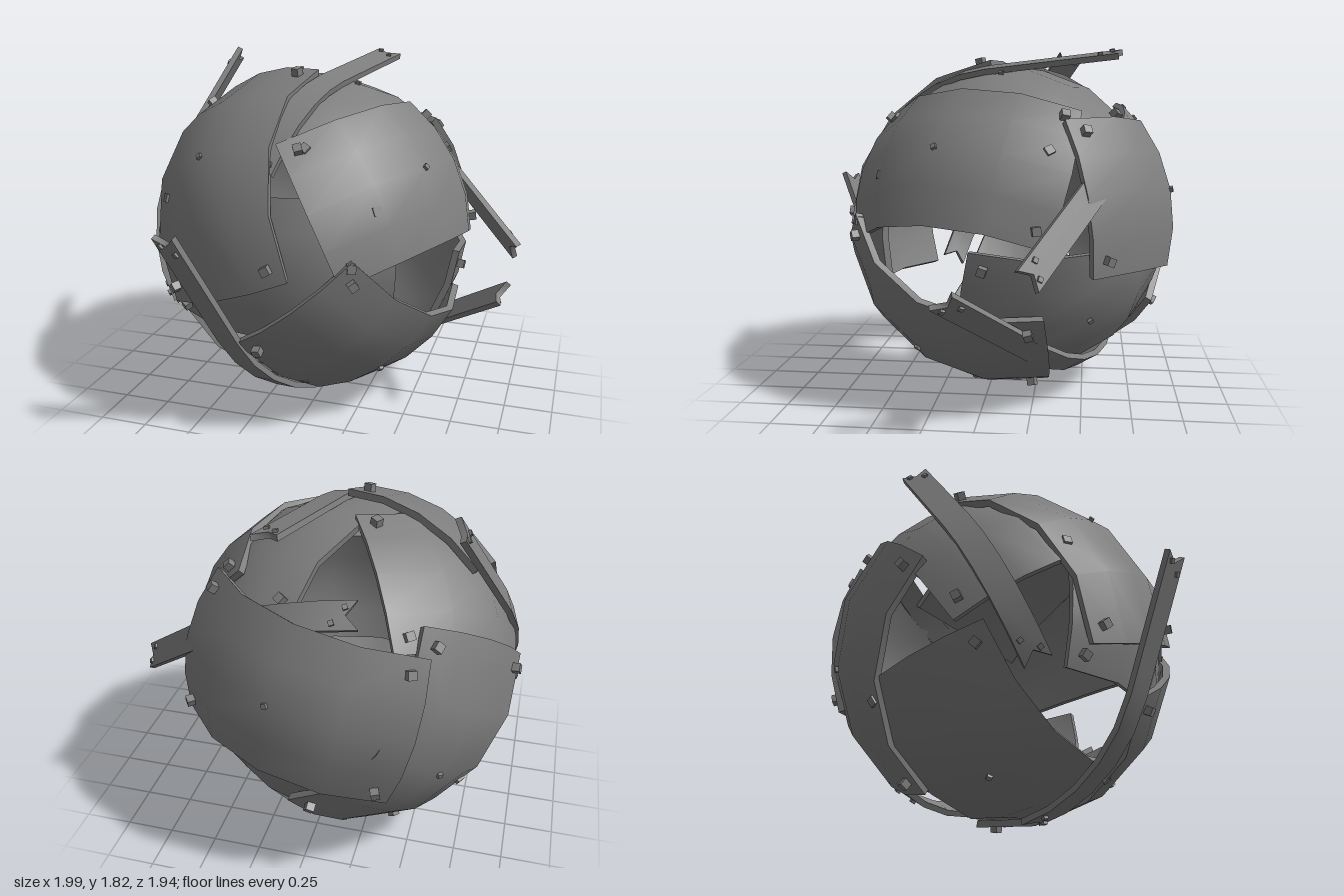
import * as THREE from 'three';

const CENTER = [-0.1, 0.86, -0.1];
const rad = THREE.MathUtils.degToRad;
const vec = (a) => new THREE.Vector3(...a);

const metal = new THREE.MeshStandardMaterial({ color: 0x7f7f7f });
metal.name = 'grey metal';

// Group whose local z points outward and local y follows the given across direction
function orient(group, outward, across) {
  const z = outward.clone().normalize();
  const y = across.clone().addScaledVector(z, -across.dot(z)).normalize();
  const x = new THREE.Vector3().crossVectors(y, z);
  group.quaternion.setFromRotationMatrix(new THREE.Matrix4().makeBasis(x, y, z));
  return group;
}

// Point on a sphere of radius r at a longitude and latitude around local z
const onSphere = (lon, lat, r) => new THREE.Vector3(
  r * Math.sin(lon) * Math.cos(lat), r * Math.sin(lat), r * Math.cos(lon) * Math.cos(lat));

// Subdivided slab whose vertices are moved by a rule
function bentSlab(nx, ny, rule) {
  const geo = new THREE.BoxGeometry(1, 1, 1, nx, ny, 1);
  const pos = geo.attributes.position;
  for (let i = 0; i < pos.count; i++) {
    const p = rule(pos.getX(i), pos.getY(i), pos.getZ(i));
    pos.setXYZ(i, p.x, p.y, p.z);
  }
  geo.computeVertexNormals();
  return geo;
}

function addBolt(group, point, normal, size, twist) {
  const bolt = new THREE.Mesh(new THREE.BoxGeometry(size, size, size), metal);
  bolt.name = 'bolt';
  bolt.position.copy(point);
  bolt.quaternion.setFromUnitVectors(new THREE.Vector3(0, 0, 1), normal.clone().normalize());
  bolt.rotateZ(twist);
  group.add(bolt);
}

// Curved armour plate with a bolt at each corner
function makePlate({ out, across, r, halfLon = 45.5, halfLat = 25.5 }, index) {
  const group = orient(new THREE.Group(), vec(out), vec(across));
  group.name = 'plate' + (index + 1);
  const a = rad(halfLon), b = rad(halfLat), thick = 0.036;
  const shell = new THREE.Mesh(bentSlab(4, 4, (x, y, z) =>
    onSphere(2 * x * a, 2 * y * b, r + (z - 0.5) * thick)), metal);
  shell.name = 'curvedPlate';
  group.add(shell);
  for (const sx of [-1, 1]) {
    for (const sy of [-1, 1]) {
      const p = onSphere(sx * (a - rad(6)), sy * (b - rad(5)), r);
      addBolt(group, p, p, 0.042, 0.3 * sx);
    }
  }
  const mid = onSphere(0, 0, r);
  addBolt(group, mid, mid, 0.025, 0.5);
  return group;
}

// Strap that hugs the sphere, then leaves it straight along its tangent
function makeStrap({ foot, dir, length = 0.68, r = 0.865, arc = 58 }, index) {
  const out = vec(foot).normalize();
  const along = vec(dir);
  const group = orient(new THREE.Group(), out, new THREE.Vector3().crossVectors(out, along));
  group.name = 'strap' + (index + 1);
  const width = 0.135, thick = 0.03, sweep = rad(arc), notch = 0.045;
  const place = (s, y, h) => s > 0
    ? new THREE.Vector3(s * length, y, r + h)
    : new THREE.Vector3(Math.sin(s * sweep) * (r + h), y, Math.cos(s * sweep) * (r + h));
  const band = new THREE.Mesh(bentSlab(10, 2, (x, y, z) => {
    let s = 2 * x;
    // V-shaped notch in both ends
    if (Math.abs(x) > 0.49 && Math.abs(y) < 0.1) s -= Math.sign(x) * notch / length;
    return place(s, y * width, z * thick);
  }), metal);
  band.name = 'strapBand';
  group.add(band);
  for (const s of [0.9, -0.9]) {
    for (const y of [-0.035, 0.035]) {
      const p = place(s + y, y, thick / 2);
      const n = s > 0 ? new THREE.Vector3(0, 0, 1) : p.clone().setY(0);
      addBolt(group, p, n, 0.024, 0.3);
    }
  }
  return group;
}

export function createModel() {
  const model = new THREE.Group();
  model.name = 'armouredSphere';
  const ball = new THREE.Group();
  ball.name = 'sphereParts';
  ball.position.set(...CENTER);
  model.add(ball);

  const plates = [
    // front, upper right-hand side
    { out: [-0.43, 0.56, 0.70], across: [0.93, 0.30, 0.24], r: 0.88, halfLon: 47 },
    // left side, upper
    { out: [0.775, 0.52, 0.36], across: [-0.42, 0.58, -0.17], r: 0.862 },
    // front left, lower
    { out: [1.25, -1.5, 1.11], across: [1.15, 0.96, -0.03], r: 0.883 },
    // back, upper
    { out: [0.52, 0.52, -2.11], across: [-0.26, 1.42, 0.19], r: 0.89 },
    // back right, lower
    { out: [-0.64, -0.22, -0.72], across: [-0.57, -0.51, 0.64], r: 0.875 },
    // bottom
    { out: [-0.43, -0.89, 0.11], across: [0.25, -0.2, -0.95], r: 0.85 },
    // back left, lower
    { out: [0.70, -0.47, -0.52], across: [0.5, 0.85, -0.14], r: 0.835 },
    // right side, upper
    { out: [-0.76, 0.585, -0.015], across: [-0.41, -0.55, -0.72], r: 0.85 },
    // front, inner
    { out: [0, 0, 1], across: [0, 1, 0], r: 0.835 },
    // top, inner
    { out: [0.30, 0.96, 0.04], across: [0.79, -0.27, 0.54], r: 0.835 },
  ];
  plates.forEach((p, i) => ball.add(makePlate(p, i)));

  const straps = [
    // front
    { foot: [-0.2, -0.39, 0.76], dir: [-0.18, 0.57, 0.26], r: 0.875 },
    // upper right
    { foot: [-0.735, 0.36, 0.07], dir: [0.16, 0.55, -0.36], r: 0.85 },
    // top
    { foot: [0.14, 0.86, 0.12], dir: [0.13, 0.04, -0.68], r: 0.835, length: 0.7, arc: 50 },
    // lower left
    { foot: [0.6, -0.555, -0.18], dir: [0.4, 0.25, 0.3], r: 0.85, length: 0.71 },
    // upper left
    { foot: [0.61, 0.31, -0.49], dir: [0.34, -0.26, 0.2], r: 0.85, length: 0.71 },
  ];
  straps.forEach((s, i) => ball.add(makeStrap(s, i)));
  return model;
}
